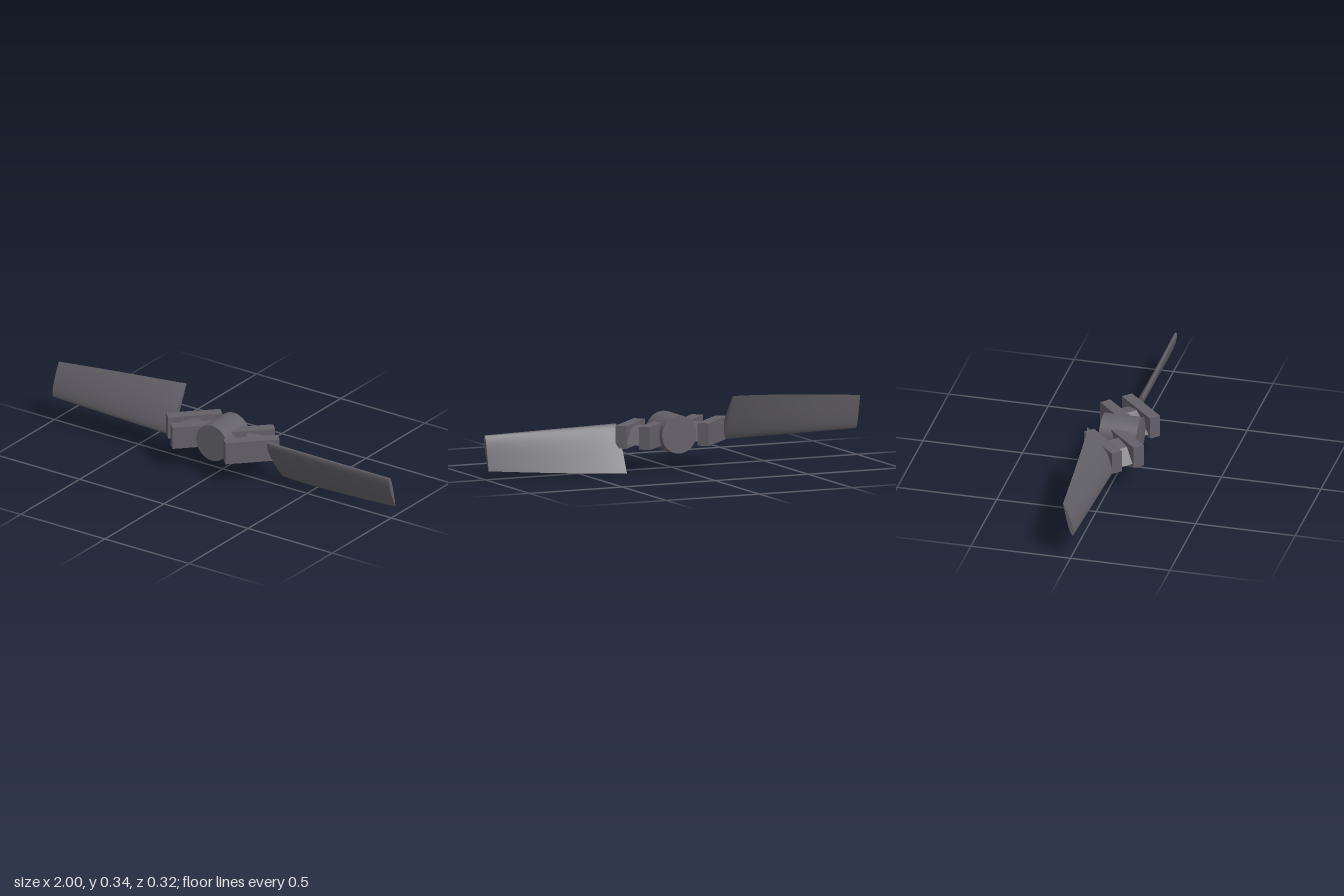
import * as THREE from 'three';

const AXIS_Y = 0.174;
const metal = new THREE.MeshStandardMaterial({ color: 0x636168 });
metal.name = 'dark grey metal';

function mesh(geometry, name, parent) {
  const m = new THREE.Mesh(geometry, metal);
  m.name = name;
  parent.add(m);
  return m;
}

// Twisted, tapering airfoil lofted along +x, as cross-sections in loops
function bladeGeometry() {
  const HALF = 14, RING = HALF * 2 + 1, STEPS = 14;
  const pos = [], idx = [];
  const section = (u) => {
    const noseZ = 0.031 - 0.018 * u, noseY = 0.231 - 0.012 * u;
    const tailZ = -0.1 + 0.063 * Math.pow(u, 0.7);
    const tailY = 0.002 + 0.047 * Math.pow(u, 1.3);
    const dz = tailZ - noseZ, dy = tailY - noseY;
    const pts = [];
    for (let j = 0; j < RING; j++) {
      const a = (j / HALF) * Math.PI;
      const c = 0.5 + 0.5 * Math.cos(a); // 1 at tail, 0 at nose
      const thick = 0.65 * (0.2969 * Math.sqrt(c) - 0.126 * c - 0.3516 * c * c
        + 0.2843 * c ** 3 - 0.1036 * c ** 4);
      const n = (j <= HALF ? 1 : -1) * thick + 0.06 * c * (1 - c);
      pts.push([0.285 + 0.715 * u, noseY + c * dy + n * dz - AXIS_Y, noseZ + c * dz - n * dy]);
    }
    return pts;
  };
  for (let i = 0; i <= STEPS; i++) {
    for (const p of section(i / STEPS)) pos.push(...p);
  }
  for (let i = 0; i < STEPS; i++) {
    for (let j = 0; j < RING - 1; j++) {
      const a = i * RING + j, b = a + RING;
      idx.push(a, b, a + 1, b, b + 1, a + 1);
    }
  }
  // End caps, joining the front and back surfaces straight across
  for (const u of [0, 1]) {
    const base = pos.length / 3;
    for (const p of section(u)) pos.push(...p);
    for (let j = 0; j < HALF; j++) {
      const a = base + j, b = a + 1, c = base + RING - 2 - j, d = c + 1;
      if (u) idx.push(a, d, b, b, d, c);
      else idx.push(a, b, d, b, c, d);
    }
  }
  const g = new THREE.BufferGeometry();
  g.setAttribute('position', new THREE.Float32BufferAttribute(pos, 3));
  g.setIndex(idx);
  g.computeVertexNormals();
  return g;
}

// Two upright side plates joined by a folded web, set at 45 degrees
function createClamp() {
  const clamp = new THREE.Group();
  clamp.name = 'bladeClamp';
  for (const side of [-1, 1]) {
    mesh(new THREE.BoxGeometry(0.268, 0.112, 0.057), 'clampPlate', clamp).position.z = side * 0.0615;
  }
  const web = new THREE.Shape([
    [-0.12, -0.039], [-0.085, -0.039], [0, 0.008], [0.085, -0.039],
    [0.123, -0.039], [0.069, 0.031], [-0.01, 0.045],
  ].map(([x, y]) => new THREE.Vector2(x, y)));
  const webGeometry = new THREE.ExtrudeGeometry(web, { depth: 0.068, bevelEnabled: false });
  mesh(webGeometry.translate(0, 0, -0.034), 'clampWeb', clamp);
  clamp.position.x = 0.157;
  clamp.rotation.y = Math.PI / 4;
  return clamp;
}

export function createModel() {
  const model = new THREE.Group();
  model.name = 'foldingPropeller';

  const hub = mesh(new THREE.CylinderGeometry(0.093, 0.093, 0.188, 32), 'hub', model);
  hub.rotation.x = Math.PI / 2;
  hub.position.y = AXIS_Y;

  const blade = bladeGeometry();
  for (const side of ['left', 'right']) {
    const turn = side === 'left' ? 0 : Math.PI;

    const clampArm = new THREE.Group();
    clampArm.name = side + 'ClampArm';
    clampArm.add(createClamp());
    clampArm.position.y = AXIS_Y;
    clampArm.rotation.y = turn;
    model.add(clampArm);

    // Blades repeat by half a turn about the hub axis
    const b = mesh(blade, side + 'Blade', model);
    b.position.y = AXIS_Y;
    b.rotation.z = turn;
  }
  return model;
}
